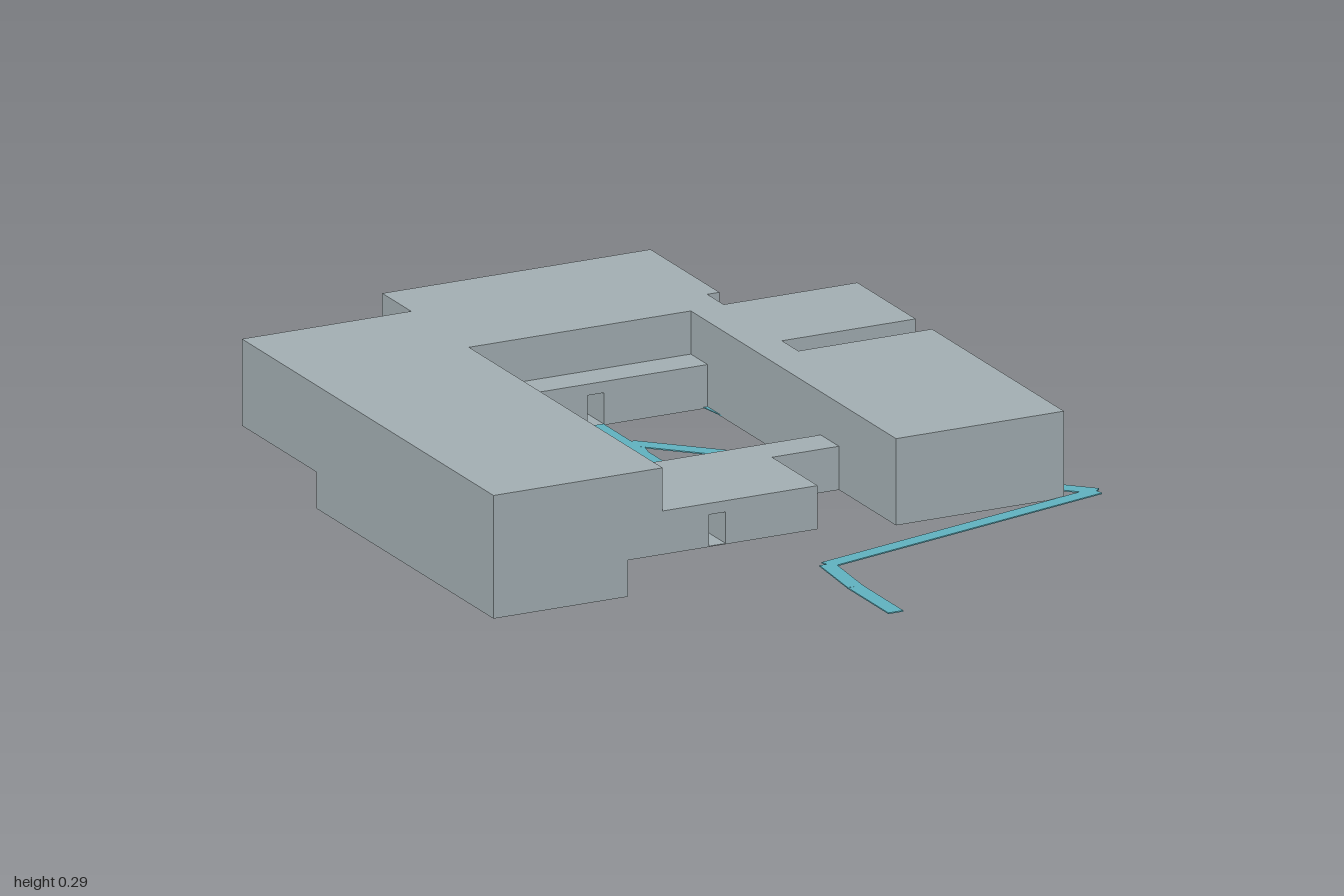
import * as THREE from 'three';

const BASE = 0.087, FLOOR = 0.089, DOOR_TOP = 0.164, MID = 0.191, TOP = 0.294;
const DOOR_DEPTH = 0.12;

export function createModel() {
  const model = new THREE.Group();
  const wall = new THREE.MeshStandardMaterial({ color: 0xa3afb3 });
  const teal = new THREE.MeshStandardMaterial({ color: 0x60b2c0 });
  const orange = new THREE.MeshStandardMaterial({ color: 0xe39a4c });
  wall.name = 'wallGrey';
  teal.name = 'pathTeal';
  orange.name = 'entranceOrange';

  const add = (name, geometry, material) => {
    const mesh = new THREE.Mesh(geometry, material);
    mesh.name = name;
    model.add(mesh);
    return mesh;
  };

  // Raise a floor plan given as [x, z] corners between two heights
  const raise = (name, plan, y0, y1, material, hole) => {
    const points = (list) => list.map(([x, z]) => new THREE.Vector2(x, -z));
    const shape = new THREE.Shape(points(plan));
    if (hole) shape.holes.push(new THREE.Path(points(hole)));
    const geometry = new THREE.ExtrudeGeometry(shape, { depth: y1 - y0, bevelEnabled: false });
    geometry.rotateX(-Math.PI / 2).translate(0, y0, 0);
    return add(name, geometry, material);
  };

  // Basement under the left part
  raise('basement', [[-0.76, -0.487], [-0.418, -0.487], [-0.418, 0.39], [-0.76, 0.39]], 0, BASE, wall);

  // Lower storey around the courtyard; the doorway layer has recesses cut into its plan
  const lowerLayer = (name, y0, y1, hasDoors) => {
    const d = DOOR_DEPTH;
    const recess = (...corners) => (hasDoors ? corners : []);
    const outline = [
      [-0.76, -0.857], [-0.33, -0.857], [-0.33, -1], [0.352, -1], [0.352, -0.857], [0.461, -0.857],
      [0.461, -0.577], [0.661, -0.577],
      ...recess([0.661, 0.287], [0.661 - d, 0.287], [0.661 - d, 0.329], [0.661, 0.329]),
      [0.661, 0.447], [0.234, 0.447], [0.234, 0.164], [0.064, 0.164], [0.064, 0.39],
      ...recess([-0.17, 0.39], [-0.17, 0.39 - d], [-0.212, 0.39 - d], [-0.212, 0.39]),
      [-0.76, 0.39],
    ];
    const courtyard = [
      [-0.33, -0.487], [-0.33, 0.073],
      ...recess([-0.071, 0.073], [-0.071, 0.073 + d], [-0.029, 0.073 + d], [-0.029, 0.073]),
      [0.234, 0.073], [0.234, -0.487],
      ...recess([-0.029, -0.487], [-0.029, -0.487 - d], [-0.071, -0.487 - d], [-0.071, -0.487]),
    ];
    raise(name, outline, y0, y1, wall, courtyard);
  };
  lowerLayer('floorSlab', BASE, FLOOR, false);
  lowerLayer('doorwayWalls', FLOOR, DOOR_TOP, true);
  lowerLayer('lintelWalls', DOOR_TOP, MID, false);

  // Upper storey, open at the front and notched on the right wing
  raise('upperStorey', [
    [-0.76, 0.39], [-0.76, -0.857], [-0.33, -0.857], [-0.33, -1], [0.352, -1], [0.352, -0.658],
    [0.321, -0.658], [0.321, -0.577], [0.661, -0.577], [0.661, -0.288], [0.321, -0.288],
    [0.321, -0.207], [0.661, -0.207], [0.661, 0.447], [0.234, 0.447], [0.234, -0.57],
    [-0.33, -0.57], [-0.33, 0.39],
  ], MID, TOP, wall);

  // Flat walkway strips between [x, z] points
  const strip = (name, a, b, y, material, width = 0.038) => {
    const dx = b[0] - a[0], dz = b[1] - a[1];
    const mesh = add(name, new THREE.BoxGeometry(width, 0.003, Math.hypot(dx, dz)), material);
    mesh.position.set((a[0] + b[0]) / 2, y, (a[1] + b[1]) / 2);
    mesh.rotation.y = Math.atan2(dx, dz);
  };
  const route = [[-0.05, 1], [-0.05, 0.8], [-0.035, 0.63], [0.745, 0.445], [-0.038, -0.338]];
  for (let i = 1; i < route.length; i++) strip('walkway', route[i - 1], route[i], 0.089, teal);
  strip('courtyardWalkway', [-0.05, -0.487], [-0.05, 0.08], 0.089, teal);
  strip('courtyardBranch', [-0.04, -0.3], [-0.13, 0.08], 0.0895, teal, 0.034);

  // Slim paved slivers in the courtyard corners
  for (const [x, side] of [[-0.33, 1], [0.234, -1]]) {
    for (const [z, dir] of [[-0.487, 1], [0.073, -1]]) {
      raise('cornerPaving', [[x, z], [x + side * 0.01, z], [x, z + dir * 0.07]], 0.0885, 0.0905, teal);
    }
  }

  // Orange door at the back of the side entrance
  const door = add('sideDoor', new THREE.BoxGeometry(0.006, DOOR_TOP - FLOOR, 0.042), orange);
  door.position.set(0.662 - DOOR_DEPTH, (DOOR_TOP + FLOOR) / 2, 0.308);

  // Entrance strip on the underside by the side door
  strip('entranceStrip', [0.63, 0.33], [0.53, 0.23], 0.0878, orange, 0.03);

  return model;
}
